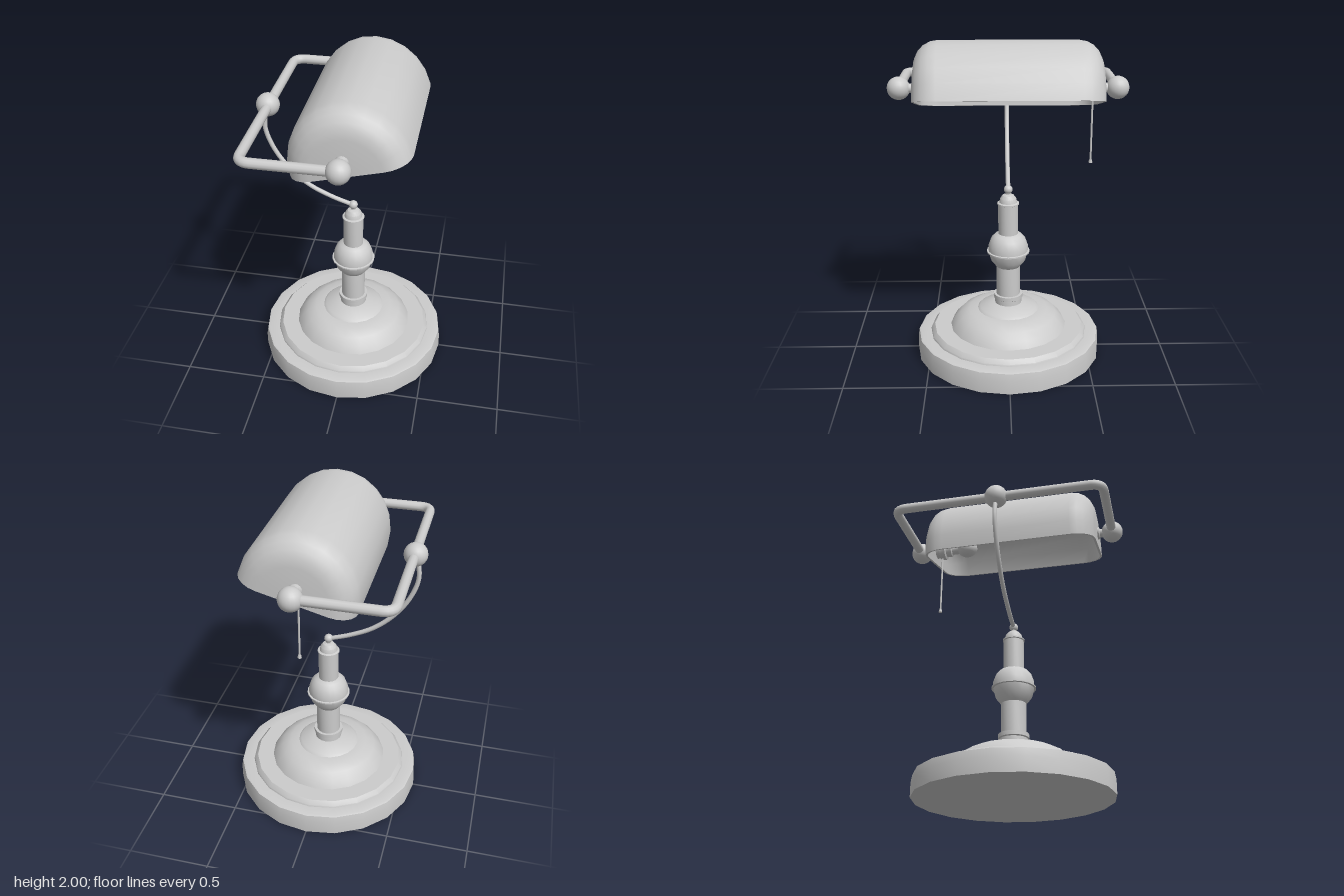
import * as THREE from 'three';
import { toCreasedNormals } from 'three/addons/utils/BufferGeometryUtils.js';

const V2 = (p) => new THREE.Vector2(p[0], p[1]);
const V3 = (x, y, z) => new THREE.Vector3(x, y, z);

export function createModel() {
  const group = new THREE.Group();
  const material = new THREE.MeshStandardMaterial({ color: 0xcccccc });

  const add = (name, geometry, x = 0, y = 0, z = 0) => {
    const mesh = new THREE.Mesh(geometry, material);
    mesh.name = name;
    mesh.position.set(x, y, z);
    group.add(mesh);
    return mesh;
  };
  const lathe = (points, sides) =>
    toCreasedNormals(new THREE.LatheGeometry(points.map(V2), sides), 0.5);
  const ball = (r) => new THREE.SphereGeometry(r, 20, 14);

  // Stepped round base
  add('base', lathe([
    [0, 0], [0.585, 0], [0.585, 0.083], [0.577, 0.13], [0.565, 0.135], [0.5, 0.135],
    [0.497, 0.145], [0.475, 0.17], [0.37, 0.17], [0.345, 0.212], [0.305, 0.253],
    [0.25, 0.28], [0.195, 0.285], [0.18, 0.298], [0.09, 0.325], [0, 0.325],
  ], 20));

  // Turned column with collar, bulge and cap
  add('column', lathe([
    [0.085, 0.32], [0.085, 0.355], [0.092, 0.36], [0.092, 0.385], [0.075, 0.385],
    [0.075, 0.575], [0.083, 0.585], [0.11, 0.62], [0.124, 0.67], [0.135, 0.672],
    [0.135, 0.68], [0.125, 0.682], [0.124, 0.715], [0.108, 0.76], [0.085, 0.785],
    [0.062, 0.795], [0.062, 0.985], [0.068, 0.988], [0.068, 0.996], [0.055, 1.0],
    [0.05, 1.025], [0.035, 1.045], [0.016, 1.052], [0.016, 1.08],
  ], 20));
  add('columnKnob', ball(0.027), 0, 1.082, 0);

  // Curved arm rising to the rear joint
  const armPath = new THREE.CatmullRomCurve3([
    V3(0, 1.08, 0), V3(-0.13, 1.125, 0), V3(-0.27, 1.195, 0), V3(-0.39, 1.3, 0),
    V3(-0.48, 1.43, 0), V3(-0.525, 1.56, 0), V3(-0.52, 1.65, 0), V3(-0.5, 1.72, 0),
  ]);
  add('curvedArm', new THREE.TubeGeometry(armPath, 40, 0.014, 10));

  // Bracket with rounded corners that carries the shade
  const h = 1.72, bx = -0.495, bz = 0.64, px = 0.04, c = 0.07;
  const bracket = new THREE.CurvePath();
  bracket.add(new THREE.LineCurve3(V3(px, h, -bz), V3(bx + c, h, -bz)));
  bracket.add(new THREE.QuadraticBezierCurve3(V3(bx + c, h, -bz), V3(bx, h, -bz), V3(bx, h, -bz + c)));
  bracket.add(new THREE.LineCurve3(V3(bx, h, -bz + c), V3(bx, h, bz - c)));
  bracket.add(new THREE.QuadraticBezierCurve3(V3(bx, h, bz - c), V3(bx, h, bz), V3(bx + c, h, bz)));
  bracket.add(new THREE.LineCurve3(V3(bx + c, h, bz), V3(px, h, bz)));
  add('bracket', new THREE.TubeGeometry(bracket, 120, 0.029, 12));
  add('rearJoint', ball(0.069), -0.5, h, 0);

  // Pivot balls and stepped necks at both ends of the shade
  for (const s of [-1, 1]) {
    add('pivotBall', ball(0.068), px, h, s * bz);
    const neck = add('pivotNeck', lathe([
      [0, -0.02], [0.038, -0.02], [0.038, 0.012], [0.028, 0.018], [0.028, 0.06], [0, 0.06],
    ], 16), px, h, s * 0.545);
    neck.rotation.x = s * Math.PI / 2;
  }

  // Shade: half-turned shell with filleted ends, tilted towards +x
  const halfProfile = (r, len, fillet) => {
    const pts = [];
    for (let i = 0; i <= 5; i++) {
      const a = (i / 5) * Math.PI / 2;
      pts.push([r - fillet + fillet * Math.sin(a), -len + fillet * (1 - Math.cos(a))]);
    }
    return pts;
  };
  const fullProfile = (r, len, fillet) => {
    const low = halfProfile(r, len, fillet);
    const high = low.map(([x, y]) => [x, -y]).reverse();
    return [[0, -len], ...low, ...high, [0, len]];
  };
  const outer = fullProfile(0.344, 0.547, 0.14);
  const inner = fullProfile(0.33, 0.533, 0.126);
  const place = (g) => g.scale(1.07, 1, 1).rotateX(Math.PI / 2)
    .rotateZ(Math.PI / 2 + 0.257).translate(0.0625, 1.632, 0);
  const shell = (pts) => toCreasedNormals(
    place(new THREE.LatheGeometry(pts.map(V2), 12, 0, Math.PI)), 0.5);
  add('shadeOuter', shell(outer));
  add('shadeInner', shell([...inner].reverse()));

  // Flat rim joining the outer and inner shells
  const loop = (pts) => [...pts, ...pts.map(([x, y]) => [-x, y]).reverse()].map(V2);
  const rim = new THREE.Shape(loop(outer.slice(1, -1)));
  rim.holes.push(new THREE.Path(loop(inner.slice(1, -1))));
  add('shadeRim', place(new THREE.ShapeGeometry(rim).rotateY(-Math.PI / 2)));

  // Lamp socket and bulb inside the shade, along z
  const socket = add('socket', lathe([
    [0, 0], [0.045, 0], [0.045, 0.03], [0.058, 0.035], [0.058, 0.07], [0.042, 0.075],
    [0.042, 0.11], [0.03, 0.115], [0.03, 0.16], [0, 0.16],
  ], 16), px, h, -0.54);
  socket.rotation.x = Math.PI / 2;
  const bulb = add('bulb', ball(0.058), px, h, -0.325);
  bulb.scale.z = 1.15;

  // Pull chain with end bead
  add('pullChain', new THREE.CylinderGeometry(0.006, 0.006, 0.44, 8), px, 1.495, -0.495);
  add('chainBead', new THREE.CylinderGeometry(0.009, 0.012, 0.018, 10), px, 1.272, -0.495);

  return group;
}
